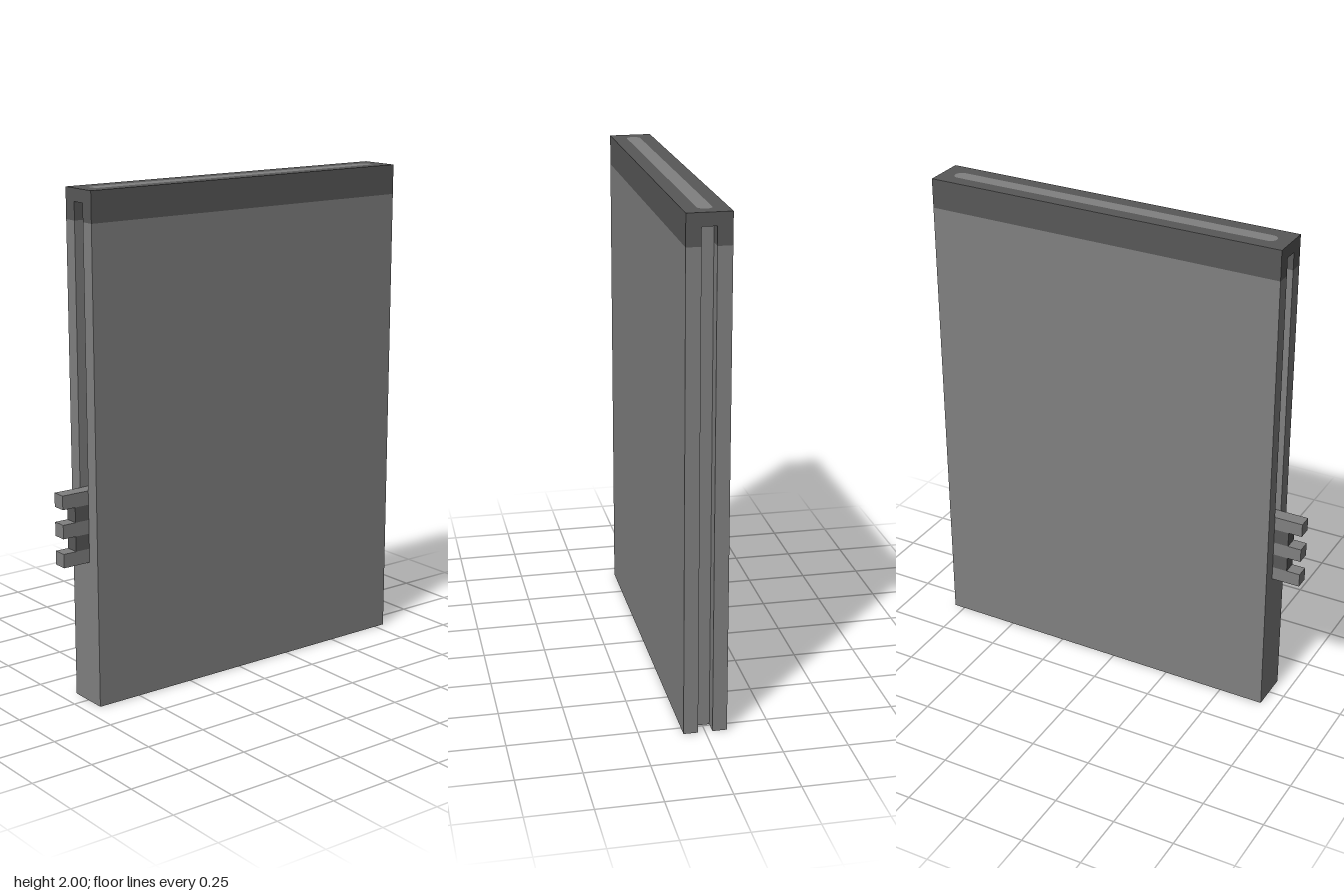
import * as THREE from 'three';

// Overall extents
const X0 = -0.685, X1 = 0.797, Z = 0.084; // slab
const C0 = -0.63, C1 = 0.742, S = 0.028; // core, recessed at both edges
const CAP = 1.88, CEIL = 1.95, TOP = 2;
const LATCH0 = 0.575, LATCH1 = 0.86;

export function createModel() {
  const model = new THREE.Group();
  const bodyGrey = new THREE.MeshStandardMaterial({ color: 0x808080 });
  bodyGrey.name = 'body grey';
  const darkGrey = new THREE.MeshStandardMaterial({ color: 0x585858 });
  darkGrey.name = 'dark grey';

  const add = (name, geometry, material) => {
    const mesh = new THREE.Mesh(geometry, material);
    mesh.name = name;
    model.add(mesh);
    return mesh;
  };
  // Box given by its limits on each axis
  const box = (name, material, x0, x1, y0, y1, z0, z1) =>
    add(name, new THREE.BoxGeometry(x1 - x0, y1 - y0, z1 - z0), material)
      .position.set((x0 + x1) / 2, (y0 + y1) / 2, (z0 + z1) / 2);

  // Two outer panels with the cap's rails above them
  for (const [side, z0, z1] of [['front', S, Z], ['back', -Z, -S]]) {
    box(side + 'Panel', bodyGrey, X0, X1, 0, CAP, z0, z1);
    box(side + 'CapRail', darkGrey, X0, X1, CAP, CEIL, z0, z1);
  }

  // Core between the panels, leaving a groove at each edge
  box('core', bodyGrey, C0, C1, 0, CEIL, -S, S);
  // The right groove is closed below the latch
  box('grooveFiller', bodyGrey, X0, C0, 0, LATCH0, -S, S);

  // Cap top with a round-ended slot, filled flush by an inlay
  const slot = (PathType) => {
    const p = new PathType();
    p.moveTo(C0 + S, -S);
    p.lineTo(C1 - S, -S);
    p.absarc(C1 - S, 0, S, -Math.PI / 2, Math.PI / 2, false);
    p.lineTo(C0 + S, S);
    p.absarc(C0 + S, 0, S, Math.PI / 2, Math.PI * 1.5, false);
    return p;
  };
  const capShape = new THREE.Shape([
    new THREE.Vector2(X0, -Z), new THREE.Vector2(X1, -Z),
    new THREE.Vector2(X1, Z), new THREE.Vector2(X0, Z),
  ]);
  capShape.holes.push(slot(THREE.Path));
  const plate = (shape) => new THREE.ExtrudeGeometry(shape,
    { depth: TOP - CEIL, bevelEnabled: false, curveSegments: 10 })
    .rotateX(-Math.PI / 2).translate(0, CEIL, 0);
  add('capTop', plate(capShape), darkGrey);
  add('capInlay', plate(slot(THREE.Shape)), bodyGrey);

  // Latch: three prongs joined by dark blocks
  const prong = 0.055, pitch = (LATCH1 - LATCH0 - prong) / 2;
  for (let i = 0; i < 3; i++) {
    const y = LATCH0 + i * pitch;
    box('latchProng', bodyGrey, -0.8, C0, y, y + prong, -S, S);
    if (i < 2) box('latchBlock', darkGrey, -0.745, C0, y + prong, y + pitch, -S, S);
  }
  return model;
}
